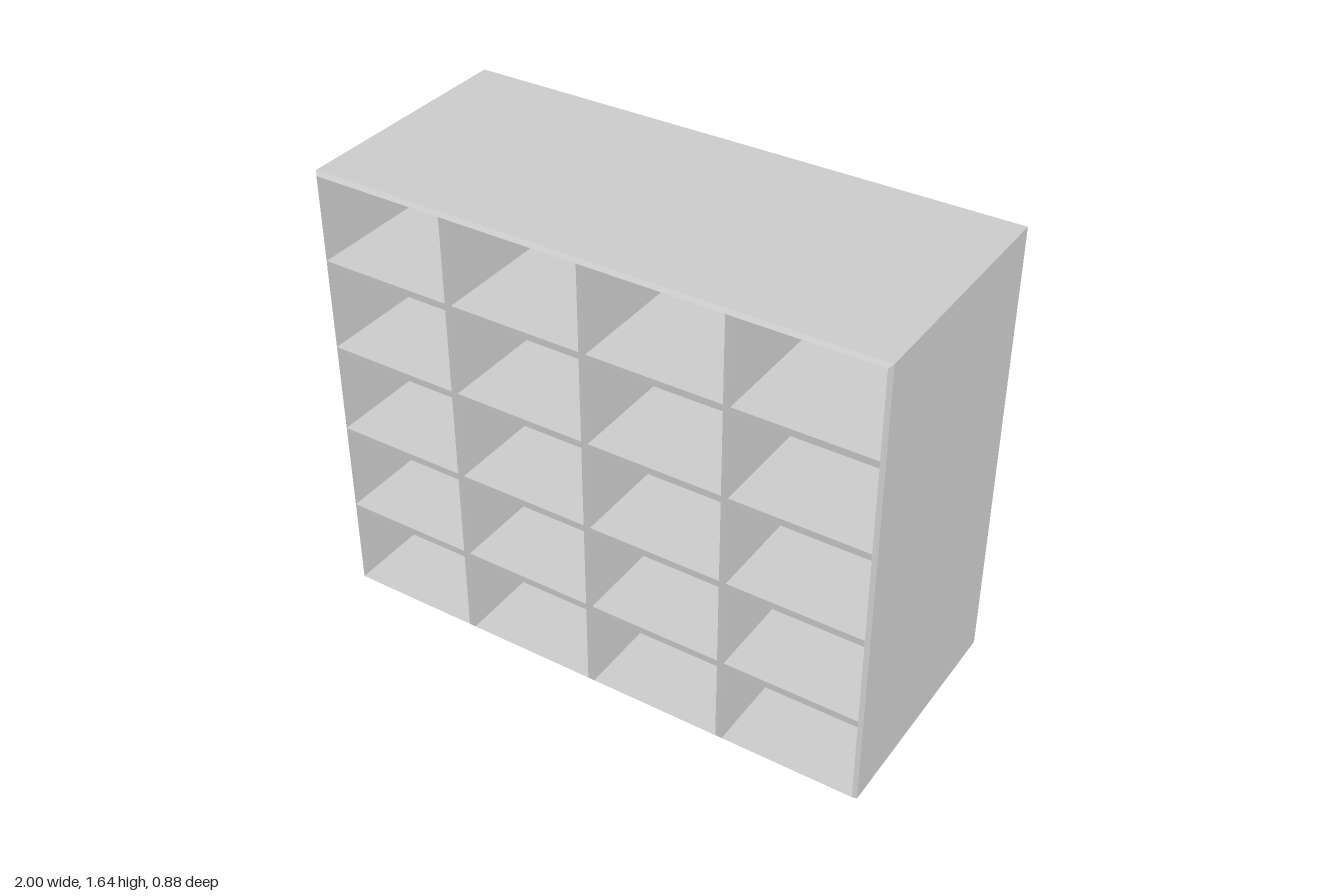
import * as THREE from 'three';

const W = 2, H = 1.64, BACK = -0.438, FRONT = 0.438;
const WALL = 0.012, BOARD = 0.024, BEVEL = 0.014;
const COLS = 4, ROWS = 5;

// Rectangular loop at depth z, inset from the outer size, counter-clockwise from the front
function loop(inset, z) {
  const x = W / 2 - inset, b = inset, t = H - inset;
  return [[-x, b, z], [x, b, z], [x, t, z], [-x, t, z]];
}

// Joins consecutive loops with flat quads and closes both ends
function loft(loops) {
  const pos = [];
  const quad = (a, b, c, d) => pos.push(...a, ...b, ...c, ...a, ...c, ...d);
  for (let k = 0; k < loops.length - 1; k++) {
    const p = loops[k], q = loops[k + 1];
    for (let i = 0; i < 4; i++) {
      const j = (i + 1) % 4;
      quad(p[i], p[j], q[j], q[i]);
    }
  }
  const [a, b, c, d] = loops[0];
  quad(d, c, b, a);
  quad(...loops[loops.length - 1]);
  const geo = new THREE.BufferGeometry();
  geo.setAttribute('position', new THREE.Float32BufferAttribute(pos, 3));
  geo.computeVertexNormals();
  return geo;
}

export function createModel() {
  const group = new THREE.Group();
  group.name = 'cubbyShelf';
  const mat = new THREE.MeshStandardMaterial({ color: 0xcccccc, flatShading: true });

  const add = (name, geo, x = 0, y = 0, z = 0) => {
    const mesh = new THREE.Mesh(geo, mat);
    mesh.name = name;
    mesh.position.set(x, y, z);
    group.add(mesh);
  };

  // Open-fronted case: outer walls, bevelled front rim, inner walls and back panel
  add('case', loft([
    loop(0, BACK),
    loop(0, FRONT - BEVEL),
    loop(WALL, FRONT),
    loop(WALL, BACK + WALL),
  ]));

  // Inner compartments
  const innerW = W - 2 * WALL, innerH = H - 2 * WALL;
  const depth = FRONT - BACK - WALL, zMid = (FRONT + BACK + WALL) / 2;
  const cellW = (innerW - (COLS - 1) * BOARD) / COLS;
  const cellH = (innerH - (ROWS - 1) * BOARD) / ROWS;

  // Upright dividers
  const dividerGeo = new THREE.BoxGeometry(BOARD, innerH, depth);
  for (let c = 1; c < COLS; c++) {
    add('divider', dividerGeo, -innerW / 2 + c * (cellW + BOARD) - BOARD / 2, H / 2, zMid);
  }

  // Shelf boards fitted between the dividers
  const shelfGeo = new THREE.BoxGeometry(cellW, BOARD, depth);
  for (let r = 1; r < ROWS; r++) {
    const y = WALL + r * (cellH + BOARD) - BOARD / 2;
    for (let c = 0; c < COLS; c++) {
      add('shelf', shelfGeo, -innerW / 2 + c * (cellW + BOARD) + cellW / 2, y, zMid);
    }
  }

  return group;
}
